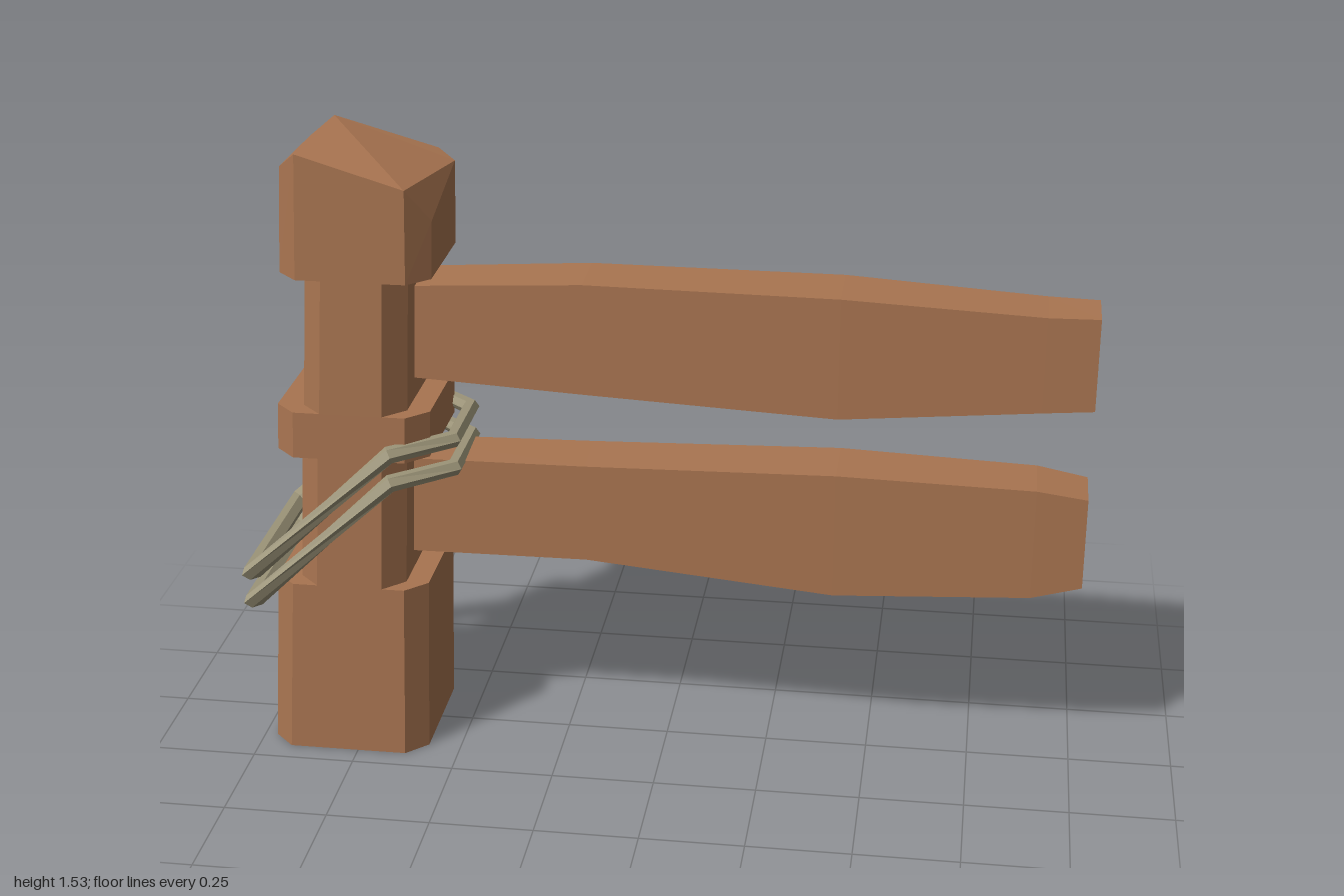
import * as THREE from 'three';

const wood = new THREE.MeshStandardMaterial({ color: 0xa87450 });
wood.name = 'wood';
const rope = new THREE.MeshStandardMaterial({ color: 0x9c9478 });
rope.name = 'rope';

// Joins rings of points (counter-clockwise seen from the far end) into a faceted solid.
function loft(rings, { closed = false, cap = null } = {}) {
  const out = [];
  const tri = (...pts) => pts.forEach((p) => out.push(p.x, p.y, p.z));
  const n = rings[0].length;
  const last = closed ? rings.length : rings.length - 1;
  for (let r = 0; r < last; r++) {
    const a = rings[r], b = rings[(r + 1) % rings.length];
    for (let i = 0; i < n; i++) {
      const j = (i + 1) % n;
      tri(a[i], a[j], b[j]);
      tri(a[i], b[j], b[i]);
    }
  }
  if (!closed) {
    const a = rings[0], b = rings[rings.length - 1];
    for (let i = 1; i < n - 1; i++) {
      tri(a[0], a[i + 1], a[i]);
      if (!cap) tri(b[0], b[i], b[i + 1]);
    }
    if (cap) cap.forEach((t) => tri(...t.map((k) => b[k])));
  }
  const g = new THREE.BufferGeometry();
  g.setAttribute('position', new THREE.Float32BufferAttribute(out, 3));
  g.computeVertexNormals();
  return g;
}

function addMesh(parent, name, geometry, material) {
  const mesh = new THREE.Mesh(geometry, material);
  mesh.name = name;
  parent.add(mesh);
}

// Chamfered rectangle across the post, starting at the front right corner
function postRing(y, left, right, heights) {
  const c = 0.05, d = 0.194 - 0.01 * y;
  return [
    [right - c, d], [right, d - c], [right, c - d], [right - c, -d],
    [left + c, -d], [left, c - d], [left, d - c], [left + c, d],
  ].map(([x, z], i) => new THREE.Vector3(x, heights ? heights[i] : y, z));
}

// Plank stations: x, bottom, top, front z, back z
function plank(stations) {
  return loft(stations.map(([x, lo, hi, f, b]) => [
    new THREE.Vector3(x, lo + 0.005, f), new THREE.Vector3(x, lo, b),
    new THREE.Vector3(x, hi, b), new THREE.Vector3(x, hi - 0.005, f),
  ]));
}

// Closed six-sided rope with mitred corners
function ropeLoop(path, radius) {
  const n = path.length;
  const up = new THREE.Vector3(0, 1, 0);
  const frame = (i) => {
    const d = path[(i + 1) % n].clone().sub(path[i % n]).normalize();
    const h = up.clone().cross(d).normalize();
    return { h, u: d.clone().cross(h) };
  };
  return loft(path.map((p, i) => {
    const a = frame(i + n - 1), b = frame(i);
    const h = a.h.clone().add(b.h).normalize();
    h.divideScalar(h.dot(b.h));
    const u = a.u.clone().add(b.u).normalize();
    return Array.from({ length: 6 }, (_, k) => {
      const t = (k * Math.PI) / 3;
      return p.clone().addScaledVector(h, radius * Math.cos(t))
        .addScaledVector(u, radius * Math.sin(t));
    });
  }), { closed: true });
}

export function createModel() {
  const model = new THREE.Group();
  model.name = 'brokenFence';

  // Leaning post, notched on both sides, with an uneven cut top
  const post = new THREE.Group();
  post.name = 'post';
  model.add(post);
  const sections = [
    ['postBase', 0, -0.97, -0.58, 0.45, -0.94, -0.565],
    ['lowerNotch', 0.45, -0.88, -0.62, 0.785, -0.86, -0.605],
    ['middleBand', 0.785, -0.92, -0.55, 0.9, -0.914, -0.545],
    ['upperNotch', 0.9, -0.85, -0.6, 1.23, -0.83, -0.585],
  ];
  for (const [name, y0, l0, r0, y1, l1, r1] of sections) {
    addMesh(post, name, loft([postRing(y0, l0, r0), postRing(y1, l1, r1)]), wood);
  }
  const cutHeights = [1.455, 1.37, 1.435, 1.45, 1.52, 1.48, 1.485, 1.53];
  const cutFaces = [[0, 1, 2], [4, 5, 6], [7, 0, 6], [6, 0, 4], [0, 2, 4], [2, 3, 4]];
  addMesh(post, 'postHead', loft(
    [postRing(1.23, -0.89, -0.53), postRing(1.46, -0.875, -0.524, cutHeights)],
    { cap: cutFaces },
  ), wood);

  // Two rough planks
  addMesh(model, 'upperPlank', plank([
    [-0.7, 0.955, 1.185, 0.062, -0.065],
    [-0.19, 0.93, 1.214, 0.068, -0.075],
    [0.41, 0.903, 1.21, 0.073, -0.083],
    [0.88, 0.94, 1.184, 0.06, -0.072],
    [1, 0.948, 1.184, 0.055, -0.062],
  ]), wood);
  addMesh(model, 'lowerPlank', plank([
    [-0.72, 0.492, 0.748, 0.062, -0.068],
    [-0.19, 0.497, 0.754, 0.066, -0.078],
    [0.41, 0.443, 0.767, 0.07, -0.087],
    [0.88, 0.466, 0.754, 0.065, -0.076],
    [1, 0.496, 0.735, 0.058, -0.066],
  ]), wood);

  // Two slanted rope loops around the post
  for (const [name, low, high] of [['upperRope', 0.487, 0.817], ['lowerRope', 0.412, 0.744]]) {
    const half = [[-0.982, low, 0.213], [-0.63, high, 0.213], [-0.5, high, 0.1]];
    const path = [
      ...half.map(([x, y, z]) => new THREE.Vector3(x, y, z)),
      ...half.reverse().map(([x, y, z]) => new THREE.Vector3(x, y, -z)),
    ];
    addMesh(model, name, ropeLoop(path, 0.02), rope);
  }
  return model;
}
